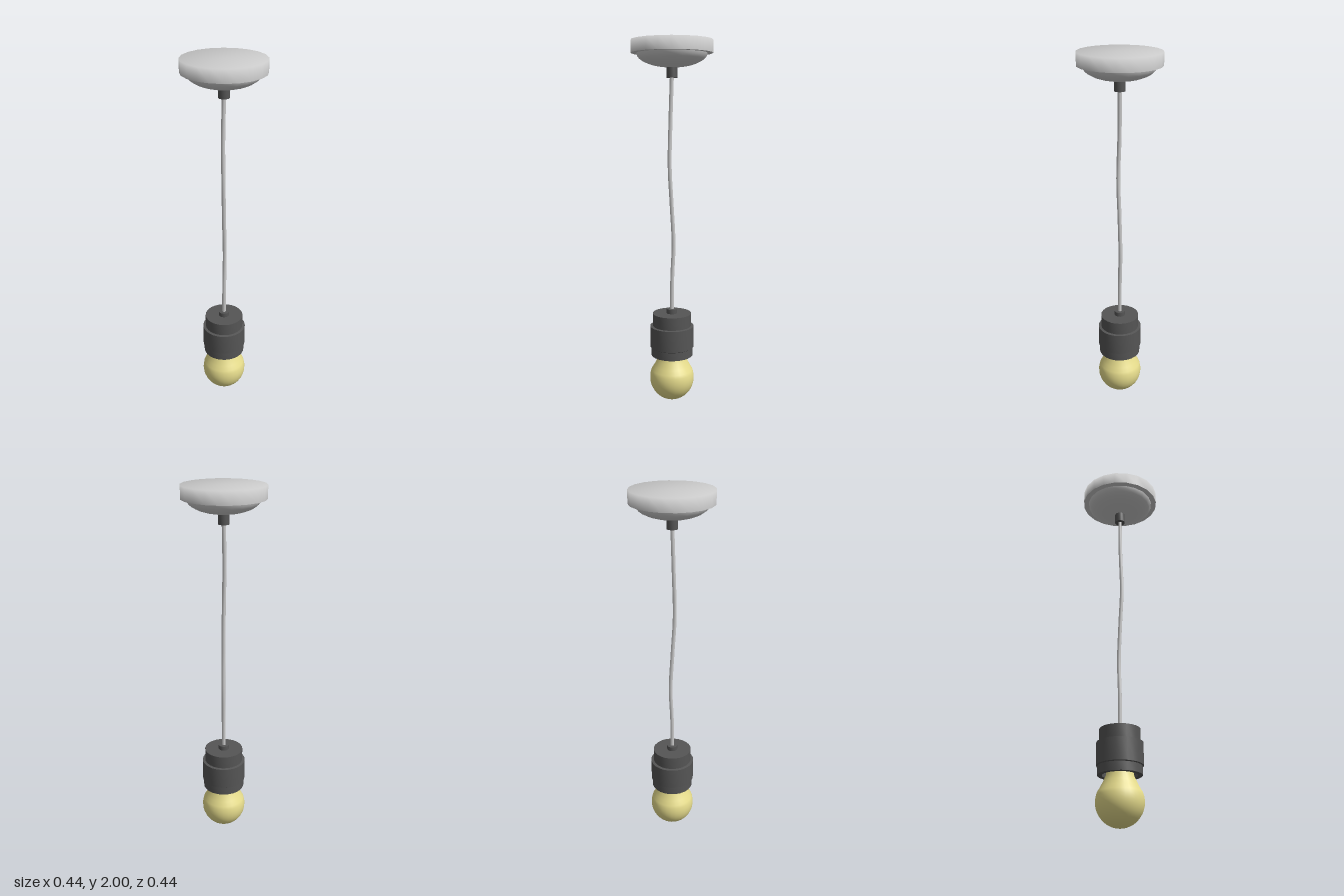
import * as THREE from 'three';
import { toCreasedNormals } from 'three/addons/utils/BufferGeometryUtils.js';

const grey = new THREE.MeshStandardMaterial({ color: 0xcccccc });
const dark = new THREE.MeshStandardMaterial({ color: 0x555555 });
const yellow = new THREE.MeshStandardMaterial({ color: 0xe6dc8c });

// Turned part: profile of [radius, height] points, listed from bottom to top
function turned(name, profile, sides, material, crease) {
  const points = profile.map(([r, y]) => new THREE.Vector2(r, y));
  let geometry = new THREE.LatheGeometry(points, sides);
  if (crease) geometry = toCreasedNormals(geometry, crease);
  const mesh = new THREE.Mesh(geometry, material);
  mesh.name = name;
  return mesh;
}

export function createModel() {
  const model = new THREE.Group();
  model.name = 'pendantLamp';

  // Ceiling canopy: soft-shaded disc with a flat lower rim
  model.add(turned('canopy', [[0.22, 1.932], [0.22, 2], [0, 2]], 20, grey));
  model.add(turned('canopyRim', [[0.17, 1.932], [0.22, 1.932]], 20, grey));

  // Shallow bowl under the canopy
  const bowl = [];
  for (let i = 0; i <= 8; i++) {
    const a = (i / 8) * Math.PI / 2;
    bowl.push([0.19 * Math.sin(a), 1.932 - 0.075 * Math.cos(a)]);
  }
  model.add(turned('canopyBowl', bowl, 20, grey));

  // Cord grips at both ends
  model.add(turned('upperCordGrip',
    [[0, 1.803], [0.029, 1.803], [0.029, 1.87]], 16, dark, 0.6));
  model.add(turned('lowerCordGrip',
    [[0.03, 0.495], [0.03, 0.53], [0, 0.53]], 16, dark, 0.6));

  // Slightly wavy hanging cord
  const path = new THREE.CatmullRomCurve3([
    [0, 0.51, 0], [0.001, 0.7, -0.001], [0.004, 0.9, -0.008], [0, 1.12, 0.002],
    [-0.003, 1.33, 0.013], [-0.005, 1.58, 0.006], [0, 1.83, 0],
  ].map((p) => new THREE.Vector3(...p)));
  const cord = new THREE.Mesh(new THREE.TubeGeometry(path, 48, 0.011, 8), grey);
  cord.name = 'cord';
  model.add(cord);

  // Stepped lamp holder, hollow at the mouth
  model.add(turned('socket', [
    [0, 0.29], [0.092, 0.29], [0.092, 0.262], [0.117, 0.262], [0.117, 0.308],
    [0.123, 0.312], [0.123, 0.432], [0.108, 0.434], [0.108, 0.505], [0, 0.505],
  ], 24, dark, 0.6));

  // Light bulb: round globe narrowing to the neck
  const bulb = [];
  for (let i = 0; i <= 14; i++) {
    const a = (i / 14) * 1.95;
    bulb.push([0.125 * Math.sin(a), 0.128 - 0.128 * Math.cos(a)]);
  }
  bulb.push([0.102, 0.198], [0.086, 0.23], [0.072, 0.262], [0.066, 0.3]);
  model.add(turned('bulb', bulb, 28, yellow));

  return model;
}
